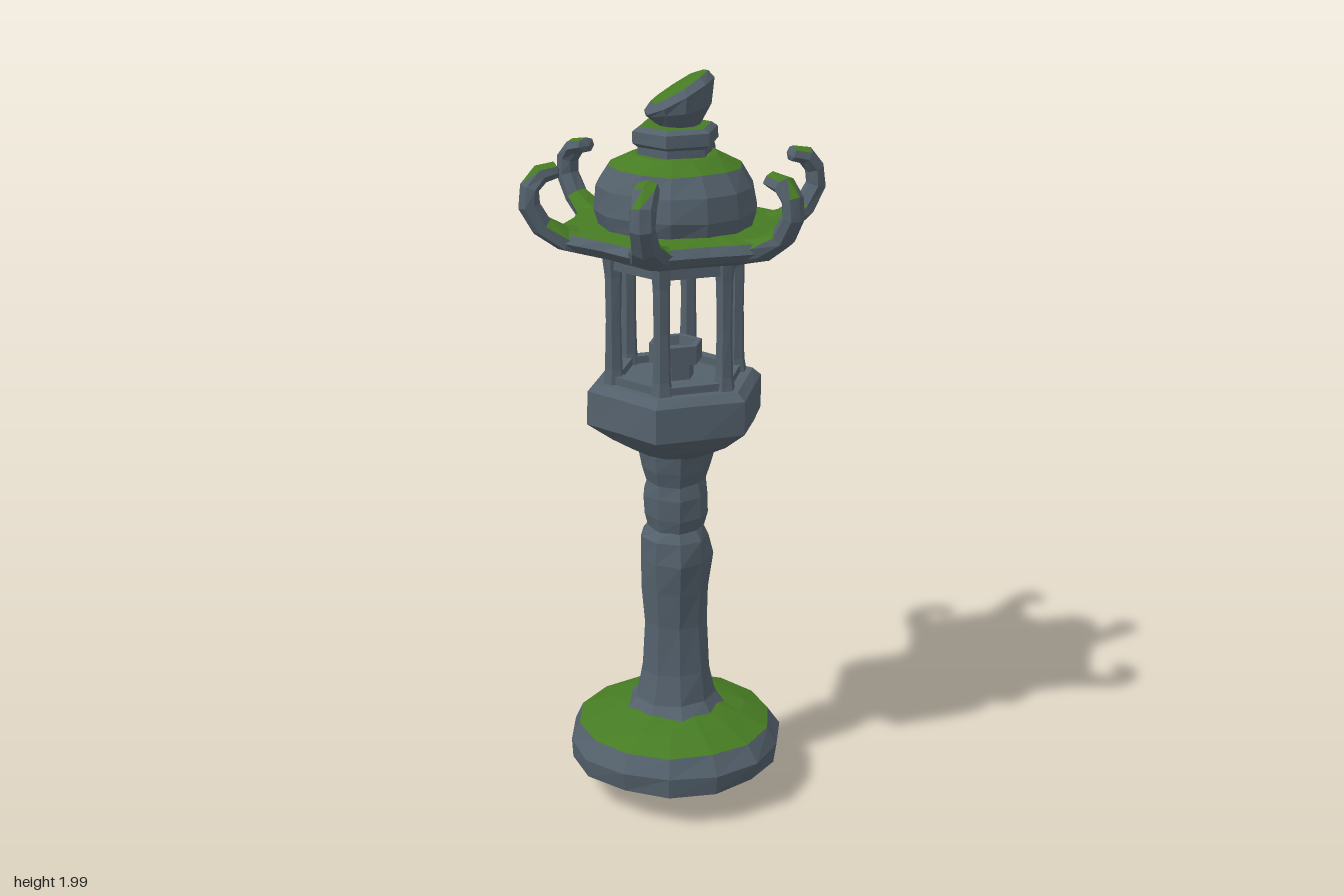
import * as THREE from 'three';

const stone = new THREE.MeshStandardMaterial({ color: 0x53606b, flatShading: true });
stone.name = 'stone';
const moss = new THREE.MeshStandardMaterial({ color: 0x467b23, flatShading: true });
moss.name = 'moss';

// Small seeded noise in -1..1 for the weathered surfaces
let seed = 7;
const noise = () => {
  seed = (seed * 16807) % 2147483647;
  return (seed / 2147483647) * 2 - 1;
};

// Joins cross-sections into a faceted skin; faces steeper upward than mossLimit are mossy
function skin(name, sections, mossLimit = 2) {
  const faces = [[], []];
  const ab = new THREE.Vector3(), ac = new THREE.Vector3();
  const tri = (a, b, c) => {
    ab.subVectors(b, a);
    const n = ac.subVectors(c, a).cross(ab).negate();
    if (n.length() < 1e-7) return;
    faces[n.normalize().y > mossLimit ? 1 : 0].push(...a.toArray(), ...b.toArray(), ...c.toArray());
  };
  for (let i = 0; i + 1 < sections.length; i++) {
    const lo = sections[i], hi = sections[i + 1], n = lo.length;
    for (let j = 0; j < n; j++) {
      const k = (j + 1) % n;
      tri(lo[j], lo[k], hi[k]);
      tri(lo[j], hi[k], hi[j]);
    }
  }
  const geo = new THREE.BufferGeometry();
  geo.setAttribute('position', new THREE.Float32BufferAttribute([...faces[0], ...faces[1]], 3));
  geo.addGroup(0, faces[0].length / 3, 0);
  geo.addGroup(faces[0].length / 3, faces[1].length / 3, 1);
  geo.computeVertexNormals();
  const mesh = new THREE.Mesh(geo, [stone, moss]);
  mesh.name = name;
  return mesh;
}

// Turned part from [radius, y, ...] rings listed bottom to top, with rough radii and heights
function turned(name, rings, sides, { rough = 0, mossLimit = 2, reshape = (p) => p } = {}) {
  const sections = rings.map((ring, i) => {
    const [r, y] = ring;
    return Array.from({ length: sides }, (_, j) => {
      const a = (j / sides) * Math.PI * 2;
      const rr = r === 0 ? 0 : r * (1 + rough * noise());
      const yy = r === 0 ? y : y + rough * 0.1 * noise();
      return reshape(new THREE.Vector3(Math.sin(a) * rr, yy, Math.cos(a) * rr), j, ring, i);
    });
  });
  return skin(name, sections, mossLimit);
}

// Upturned horn: an oval section swept along a curl in the y-z plane
function horn() {
  const path = [[0.23, 1.575], [0.3, 1.59], [0.355, 1.625], [0.385, 1.68],
    [0.382, 1.725], [0.355, 1.757], [0.315, 1.766]];
  const width = [0.085, 0.055, 0.036, 0.032, 0.033, 0.034, 0.03];
  const depth = [0.03, 0.032, 0.029, 0.027, 0.025, 0.024, 0.02];
  const sections = path.map(([z, y], i) => {
    const p = path[Math.max(i - 1, 0)], q = path[Math.min(i + 1, path.length - 1)];
    const t = new THREE.Vector2(q[0] - p[0], q[1] - p[1]).normalize();
    return Array.from({ length: 7 }, (_, j) => {
      const a = (j / 7) * Math.PI * 2 + 0.2;
      const u = width[i] * Math.cos(a) * (1 + 0.08 * noise());
      const v = depth[i] * Math.sin(a) * (1 + 0.08 * noise());
      return new THREE.Vector3(u, y + t.x * v, z - t.y * v);
    });
  });
  const cap = ([z, y]) => Array.from({ length: 7 }, () => new THREE.Vector3(0, y, z));
  return skin('horn', [cap(path[0]), ...sections, cap([0.305, 1.764])], 0.62);
}

function box(name, w, h, d, x, y, z) {
  const mesh = new THREE.Mesh(new THREE.BoxGeometry(w, h, d), stone);
  mesh.name = name;
  mesh.position.set(x, y, z);
  return mesh;
}

export function createModel() {
  const model = new THREE.Group();
  model.name = 'stoneLantern';

  // Rounded base stone with a pointed underside and moss on top
  model.add(turned('base', [[0, 0.005], [0.285, 0.1], [0.292, 0.155], [0.265, 0.203],
    [0.19, 0.235], [0.12, 0.255], [0, 0.256]], 14, { rough: 0.025, mossLimit: 0.8 }));

  // Column in two worn pieces with a pinch between them
  model.add(turned('shaft', [[0.145, 0.235], [0.108, 0.28], [0.093, 0.36], [0.085, 0.5],
    [0.092, 0.6], [0.1, 0.69], [0.094, 0.75], [0.07, 0.785], [0, 0.785]], 9, { rough: 0.045 }));
  model.add(turned('neck', [[0, 0.77], [0.075, 0.775], [0.088, 0.815], [0.088, 0.87],
    [0.08, 0.91], [0.092, 0.95], [0.105, 1.01], [0, 1.01]], 9, { rough: 0.04 }));

  // Bowl: hexagonal rim blending into a rounder underside (third value is hexagon amount)
  model.add(turned('bowl', [[0, 0.99, 0], [0.1, 0.995, 0], [0.175, 1.035, 0.4], [0.242, 1.085, 1],
    [0.238, 1.175, 1], [0.215, 1.195, 1], [0, 1.195, 1]], 12, {
    rough: 0.012,
    reshape: (p, j, ring) => {
      const f = j % 2 ? 1 - 0.134 * ring[2] : 1;
      return p.set(p.x * f, p.y, p.z * f);
    },
  }));

  // Lamp pedestal with a lip and a sunken top
  model.add(turned('lampPedestal', [[0.05, 1.19], [0.05, 1.235], [0.073, 1.24], [0.073, 1.29],
    [0.055, 1.29], [0.05, 1.265], [0, 1.265]], 6));

  // Open chamber: six posts on the corners, rails between them
  const chamber = new THREE.Group();
  chamber.name = 'lightChamber';
  for (let i = 0; i < 6; i++) {
    const corner = new THREE.Group();
    corner.name = 'chamberSide';
    corner.rotation.y = (i * Math.PI) / 3;
    const post = turned('post', [[0.03, 1.19], [0.024, 1.23], [0.021, 1.36], [0.023, 1.48],
      [0.029, 1.54]], 6, { rough: 0.04 });
    post.position.z = 0.168;
    const rails = new THREE.Group();
    rails.name = 'rails';
    rails.rotation.y = Math.PI / 6;
    rails.add(box('lowerRail', 0.165, 0.03, 0.03, 0, 1.2, 0.146));
    rails.add(box('upperRail', 0.165, 0.035, 0.03, 0, 1.517, 0.146));
    corner.add(post, rails);
    chamber.add(corner);
  }
  model.add(chamber);

  // Hexagonal roof with slightly hollow sides (third value is corner stretch)
  model.add(turned('roof', [[0, 1.53, 0], [0.175, 1.53, 0.15], [0.262, 1.56, 0.18],
    [0.284, 1.585, 0.18], [0.27, 1.607, 0.18], [0.2, 1.612, 0], [0, 1.612, 0]], 24, {
    rough: 0.012,
    mossLimit: 0.7,
    reshape: (p, j, ring) => {
      const f = 1 + ring[2] * [1, 0.3, 0, 0.3][j % 4];
      return p.set(p.x * f, p.y, p.z * f);
    },
  }));
  for (let i = 0; i < 6; i++) {
    const h = horn();
    h.rotation.y = (i * Math.PI) / 3;
    model.add(h);
  }

  // Dome, hexagonal collar and the leaning finial with a slanted mossy top
  model.add(turned('dome', [[0.2, 1.6], [0.213, 1.65], [0.202, 1.71], [0.172, 1.76],
    [0.11, 1.79], [0, 1.792]], 14, { rough: 0.02, mossLimit: 0.74 }));
  model.add(turned('collar', [[0.1, 1.78], [0.1, 1.81], [0.115, 1.82], [0.113, 1.85],
    [0.095, 1.862], [0, 1.862]], 6, { rough: 0.015, mossLimit: 0.9 }));
  model.add(turned('finial', [[0, 1.855], [0.05, 1.856], [0.083, 1.9], [0.088, 1.935],
    [0.072, 1.958], [0, 1.962]], 10, {
    rough: 0.03,
    mossLimit: 0.74,
    reshape: (p, j, ring, i) => {
      const lean = [0, 0, 0.15, 0.35, 0.42, 0.42][i];
      p.y += lean * (p.x + p.z);
      p.x += 0.006;
      p.z += 0.006;
      return p;
    },
  }));

  return model;
}
